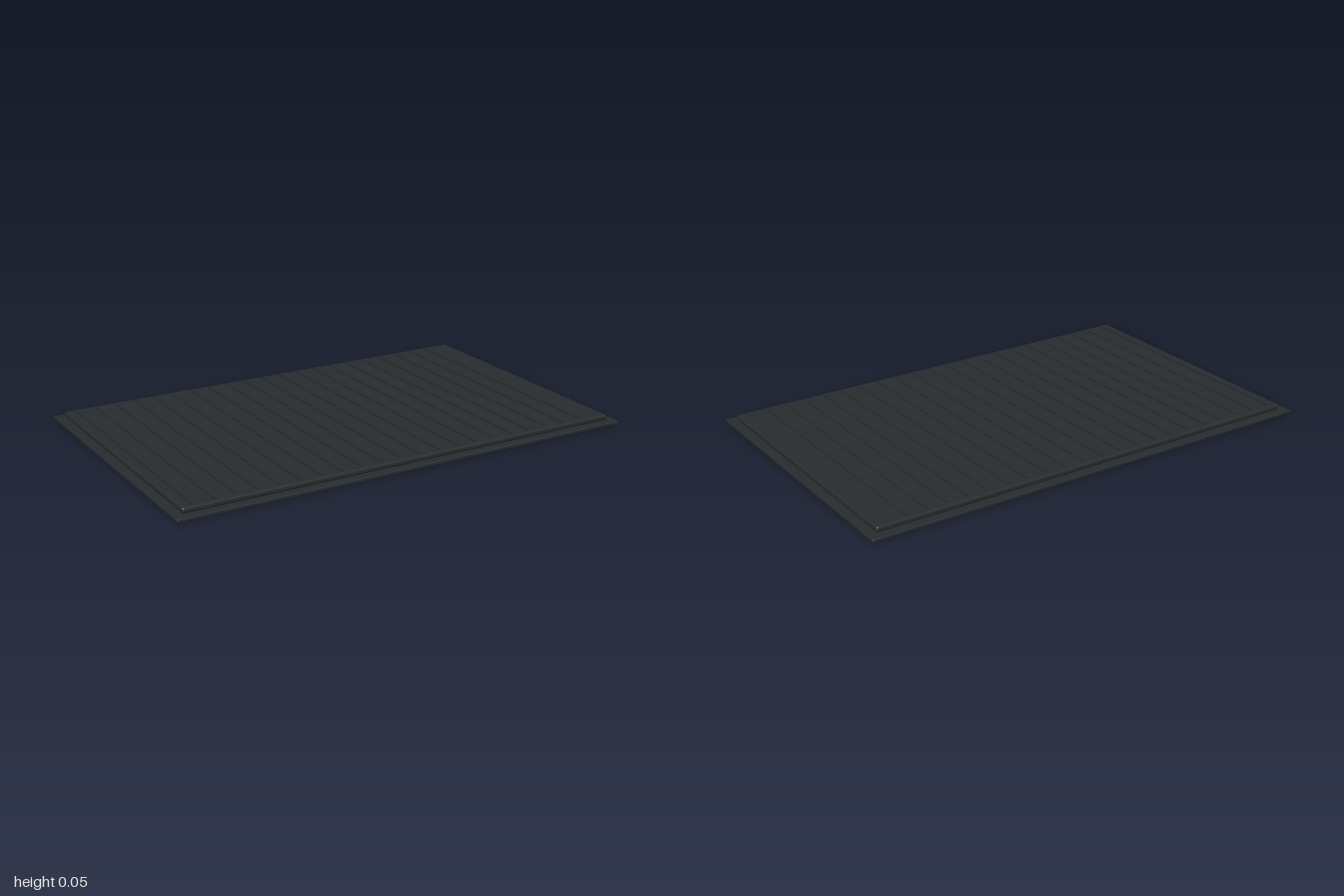
import * as THREE from 'three';
import { RoundedBoxGeometry } from 'three/addons/geometries/RoundedBoxGeometry.js';

export function createModel() {
  const mat = new THREE.Group();
  mat.name = 'floorMat';
  const rubber = new THREE.MeshStandardMaterial({ color: 0x282c2e });

  const add = (name, geometry, x, y, parent = mat) => {
    const mesh = new THREE.Mesh(geometry, rubber);
    mesh.name = name;
    mesh.position.set(x, y, 0);
    parent.add(mesh);
  };

  // Thin base sheet with a narrow border showing around the pad
  add('base', new RoundedBoxGeometry(2, 0.016, 1.247, 3, 0.005), 0, 0.008);

  // Raised pad with rounded edges
  add('pad', new RoundedBoxGeometry(1.93, 0.024, 1.18, 4, 0.009), 0, 0.027);

  // Row of thin raised ribs running front to back, set slightly towards the right
  const ribs = new THREE.Group();
  ribs.name = 'ribs';
  mat.add(ribs);
  const ribGeometry = new THREE.BoxGeometry(0.01, 0.012, 1.133);
  for (let i = 0; i < 21; i++) {
    add('rib', ribGeometry, -0.917 + i * 0.0875, 0.039, ribs);
  }
  return mat;
}
